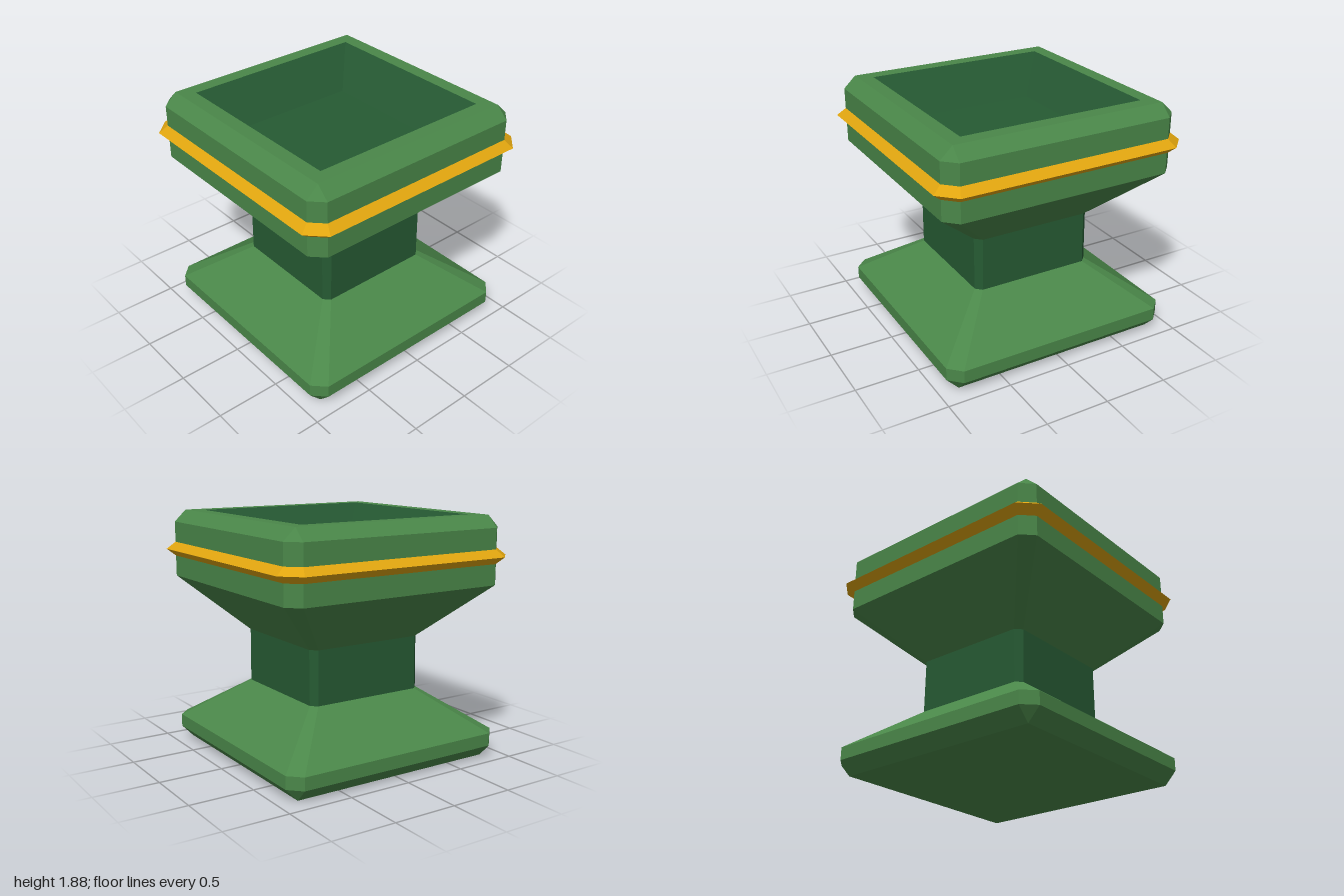
import * as THREE from 'three';

const leaf = new THREE.MeshStandardMaterial({ color: 0x4a8749 });
leaf.name = 'leafGreen';
const dark = new THREE.MeshStandardMaterial({ color: 0x265a33 });
dark.name = 'darkGreen';
const gold = new THREE.MeshStandardMaterial({ color: 0xe0a50f });
gold.name = 'gold';
for (const m of [leaf, dark, gold]) m.flatShading = true;

// Corners of a square of half width h, each corner cut back by c
function section([y, h, c]) {
  const k = h - c;
  return [[h, -k], [h, k], [k, h], [-k, h], [-h, k], [-h, -k], [-k, -h], [k, -h]]
    .map(([x, z]) => new THREE.Vector3(x, y, z));
}

// Skin between successive sections [height, half width, corner cut]
function loft(name, material, profile) {
  const rings = profile.map(section);
  const points = [];
  const triangle = new THREE.Triangle();
  const add = (a, b, c) => {
    if (triangle.set(a, b, c).getArea() > 1e-7) points.push(a, b, c);
  };
  for (let i = 0; i < rings.length - 1; i++) {
    for (let j = 0; j < 8; j++) {
      const k = (j + 1) % 8;
      const [a, b, c, d] = [rings[i][j], rings[i][k], rings[i + 1][k], rings[i + 1][j]];
      add(a, c, b);
      add(a, d, c);
    }
  }
  const geometry = new THREE.BufferGeometry().setFromPoints(points);
  geometry.computeVertexNormals();
  const mesh = new THREE.Mesh(geometry, material);
  mesh.name = name;
  return mesh;
}

export function createModel() {
  const model = new THREE.Group();
  model.name = 'pedestalPlanter';
  model.add(
    // Foot with closed underside and sloping top
    loft('foot', leaf, [[0, 0, 0], [0, 0.84, 0], [0.1, 0.935, 0.095], [0.2, 0.935, 0.095], [0.52, 0.49, 0.045]]),
    // Narrow waist
    loft('neck', dark, [[0.52, 0.49, 0.045], [0.94, 0.49, 0.05]]),
    // Flared bowl up to the flat rim
    loft('bowl', leaf, [[0.94, 0.49, 0.05], [1.36, 0.935, 0.095], [1.79, 0.935, 0.095], [1.88, 0.84, 0], [1.88, 0.73, 0]]),
    // Sunken basin and its floor
    loft('basin', dark, [[1.88, 0.73, 0], [1.57, 0.535, 0], [1.57, 0, 0]]),
    // Ridged band around the bowl
    loft('band', gold, [[1.52, 0.935, 0.095], [1.575, 1, 0.13], [1.63, 0.935, 0.095]])
  );
  return model;
}
